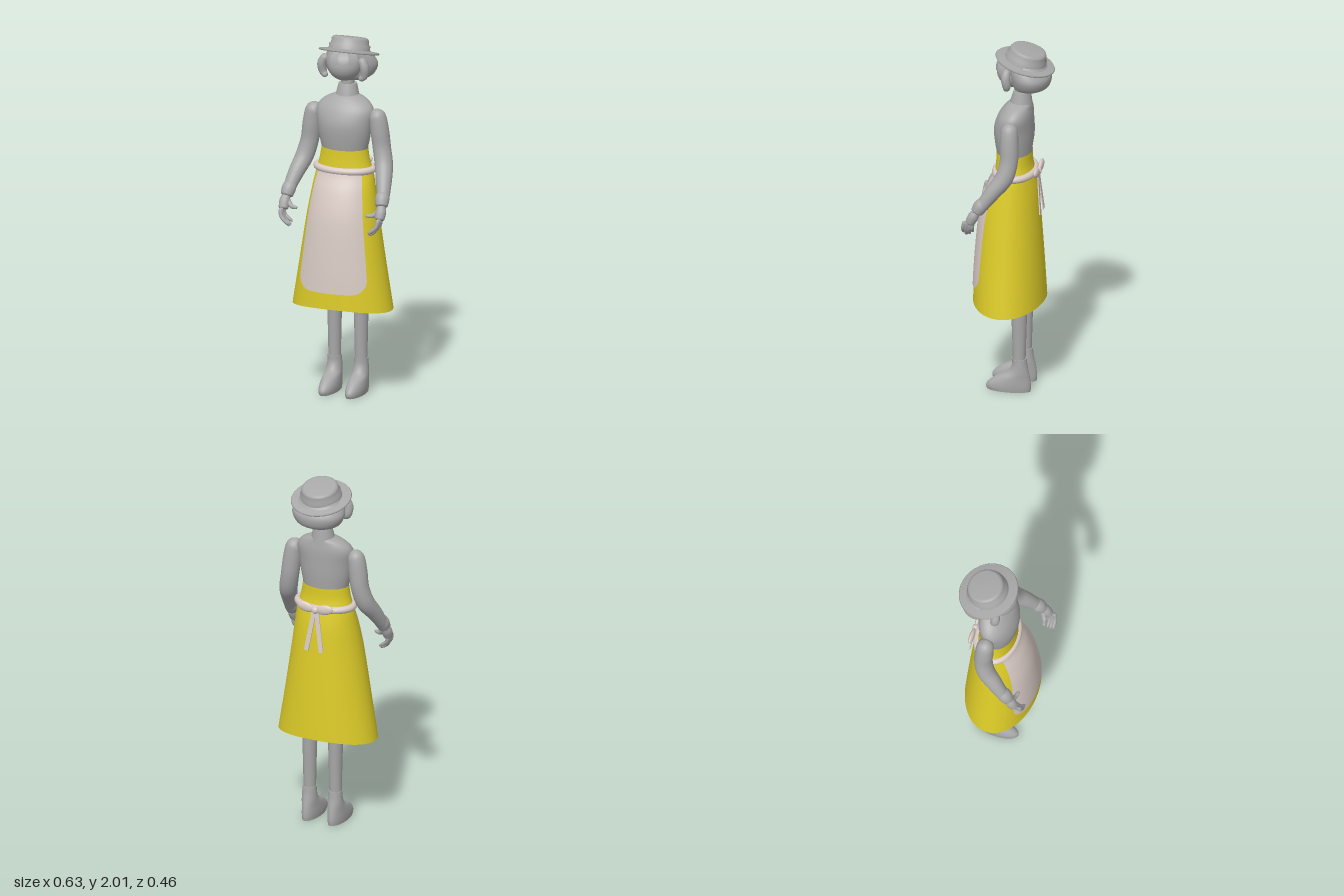
import * as THREE from 'three';
import { mergeVertices } from 'three/addons/utils/BufferGeometryUtils.js';

const grey = new THREE.MeshStandardMaterial({ color: 0xa8a8a8, name: 'plain grey' });
const yellow = new THREE.MeshStandardMaterial({ color: 0xdccb28, name: 'skirt yellow', side: THREE.DoubleSide });
const cream = new THREE.MeshStandardMaterial({ color: 0xd9cbc5, name: 'apron cream', side: THREE.DoubleSide });

// Smooth value of a row table at t in 0..1
function sample(rows, t) {
  const f = t * (rows.length - 1), i = Math.min(Math.floor(f), rows.length - 2), u = f - i;
  const at = (k) => rows[Math.max(0, Math.min(rows.length - 1, k))];
  const [a, b, c, d] = [at(i - 1), at(i), at(i + 1), at(i + 2)];
  return b.map((v, k) => v + 0.5 * u * (c[k] - a[k]
    + u * (2 * a[k] - 5 * v + 4 * c[k] - d[k] + u * (3 * (v - c[k]) + d[k] - a[k]))));
}

// Elliptical rings, rows are [y, half width, back z, front z] going up
function loft(rows, { x = 0, caps = true, steps = 24, sides = 48, bend = null } = {}) {
  const pos = [], idx = [];
  const ring = (t) => {
    const [y, rx, zb, zf] = sample(rows, t), start = pos.length / 3;
    for (let j = 0; j < sides; j++) {
      const a = (j / sides) * Math.PI * 2;
      const p = new THREE.Vector3(x + rx * Math.cos(a), y, (zb + zf) / 2 + ((zf - zb) / 2) * Math.sin(a));
      if (bend) bend(p, a, t);
      pos.push(p.x, p.y, p.z);
    }
    return start;
  };
  for (let i = 0; i <= steps; i++) ring(i / steps);
  for (let i = 0; i < steps; i++) for (let j = 0; j < sides; j++) {
    const a = i * sides + j, d = i * sides + (j + 1) % sides;
    idx.push(a, a + sides, d + sides, a, d + sides, d);
  }
  if (caps) for (const t of [0, 1]) {
    const s = ring(t), [y, , zb, zf] = sample(rows, t), c = pos.length / 3;
    pos.push(x, y, (zb + zf) / 2);
    for (let j = 0; j < sides; j++) {
      const k = s + (j + 1) % sides;
      if (t) idx.push(c, k, s + j); else idx.push(c, s + j, k);
    }
  }
  return finish(pos, idx);
}

function finish(pos, idx) {
  const g = new THREE.BufferGeometry();
  g.setAttribute('position', new THREE.Float32BufferAttribute(pos, 3));
  g.setIndex(idx);
  g.computeVertexNormals();
  return g;
}

// Round limb along points [x, y, z, radius] with rounded ends
function limb(points, steps = 24, sides = 16) {
  const curve = new THREE.CatmullRomCurve3(points.map((p) => new THREE.Vector3(p[0], p[1], p[2])));
  curve.getPointAt = (t, o) => curve.getPoint(t, o);
  curve.getTangentAt = (t, o) => curve.getTangent(t, o);
  let g = new THREE.TubeGeometry(curve, steps, 1, sides);
  const p = g.attributes.position, v = new THREE.Vector3();
  for (let i = 0; i <= steps; i++) {
    const t = i / steps, c = curve.getPoint(t);
    const e = Math.min(1, Math.min(t, 1 - t) * 8);
    const r = sample(points, t)[3] * Math.sqrt(Math.max(1 - (1 - e) ** 2, 0.0004));
    for (let j = 0; j <= sides; j++) {
      const k = i * (sides + 1) + j;
      v.fromBufferAttribute(p, k).sub(c).multiplyScalar(r).add(c);
      p.setXYZ(k, v.x, v.y, v.z);
    }
  }
  g.deleteAttribute('uv');
  g.deleteAttribute('normal');
  g = mergeVertices(g, 1e-5);
  g.computeVertexNormals();
  return g;
}

const skirtRows = [[0.52, 0.285, -0.18, 0.213], [0.75, 0.245, -0.168, 0.203], [1.0, 0.205, -0.152, 0.18],
  [1.15, 0.18, -0.14, 0.143], [1.25, 0.162, -0.122, 0.1], [1.32, 0.142, -0.108, 0.09], [1.385, 0.131, -0.106, 0.087]];

// Apron panel that follows the front of the skirt
function apronGeometry() {
  const rows = 48, cols = 24, pos = [], idx = [], bottom = 0.61, corner = 0.08;
  for (let i = 0; i <= rows; i++) {
    const y = bottom + (1.265 - bottom) * (i / rows) ** 1.5;
    let lo = 0, hi = 1;
    for (let k = 0; k < 24; k++) {
      const m = (lo + hi) / 2;
      if (sample(skirtRows, m)[0] < y) lo = m; else hi = m;
    }
    const [, rx, zb, zf] = sample(skirtRows, lo);
    const q = Math.max(0, 1 - (y - bottom) / corner);
    const w = 0.128 + 0.075 * Math.pow((1.265 - y) / 0.655, 0.85) - corner * (1 - Math.sqrt(1 - q * q));
    for (let j = 0; j <= cols; j++) {
      const x = w * (j / cols * 2 - 1);
      pos.push(x, y, (zb + zf) / 2 + ((zf - zb) / 2 + 0.006) * Math.sqrt(1 - (x / (rx + 0.006)) ** 2));
    }
  }
  for (let i = 0; i < rows; i++) for (let j = 0; j < cols; j++) {
    const a = i * (cols + 1) + j, b = a + cols + 1;
    idx.push(a, a + 1, b + 1, a, b + 1, b);
  }
  return finish(pos, idx);
}

export function createModel() {
  const model = new THREE.Group();
  const add = (name, geometry, material = grey) => {
    const m = new THREE.Mesh(geometry, material);
    m.name = name;
    model.add(m);
    return m;
  };
  const ball = (name, at, size, material) => {
    const m = add(name, new THREE.SphereGeometry(1, 32, 20), material);
    m.position.set(...at);
    m.scale.set(...size);
    return m;
  };

  // Upper body
  add('blouse', loft([[1.35, 0.122, -0.1, 0.08], [1.45, 0.145, -0.108, 0.097], [1.53, 0.156, -0.11, 0.1],
    [1.6, 0.163, -0.11, 0.077], [1.645, 0.13, -0.105, 0.045], [1.672, 0.075, -0.1, 0.017], [1.68, 0.04, -0.08, 0]]));
  add('collar', loft([[1.655, 0.068, -0.108, 0.02], [1.7, 0.058, -0.102, 0.008], [1.735, 0.05, -0.097, -0.003]]));
  add('neck', loft([[1.7, 0.036, -0.085, -0.012], [1.8, 0.036, -0.085, -0.012]]));

  // Head and bobbed hair
  ball('head', [0, 1.85, -0.008], [0.094, 0.09, 0.096]);
  add('hair', loft([[1.757, 0.085, -0.165, -0.02], [1.78, 0.125, -0.2, 0.0], [1.83, 0.15, -0.212, 0.01],
    [1.875, 0.14, -0.19, 0.02], [1.92, 0.11, -0.16, 0.03]]));
  const fringe = new THREE.SphereGeometry(0.1, 64, 12, Math.PI, -Math.PI, 0, Math.PI / 2);
  const fp = fringe.attributes.position;
  for (let i = 0; i < fp.count; i++) {
    const a = Math.atan2(fp.getX(i), fp.getZ(i));
    fp.setY(i, fp.getY(i) * 0.75 - 0.012 * Math.abs(Math.sin(a * 5)) * (1 - fp.getY(i) / 0.1));
  }
  const fringeMaterial = grey;
  fringe.index.array.reverse();
  fringe.computeVertexNormals();
  add('fringe', fringe, fringeMaterial).position.set(0, 1.872, -0.006);
  for (const s of [-1, 1]) {
    add('sideLock', limb([[s * 0.1, 1.9, 0.01, 0.022], [s * 0.125, 1.85, 0.015, 0.025],
      [s * 0.12, 1.8, 0.01, 0.022], [s * 0.095, 1.775, 0.02, 0.014]]));
  }

  // Tilted straw-style hat
  const profile = [[0, -0.006], [0.162, -0.009], [0.167, -0.003], [0.162, 0.003], [0.117, 0.005], [0.113, 0.01],
    [0.112, 0.034], [0.103, 0.04], [0.102, 0.062], [0.096, 0.073], [0.084, 0.078], [0, 0.08]];
  const hat = add('hat', new THREE.LatheGeometry(profile.map((p) => new THREE.Vector2(...p)), 64));
  hat.position.set(0, 1.908, -0.068);
  hat.rotation.x = -0.27;

  // Skirt with dipping side hem, apron and belt
  add('skirt', loft(skirtRows, { caps: false, steps: 36, sides: 72, bend: (p, a, t) => {
    p.y -= 0.025 * Math.cos(a) ** 2 * (1 - t) ** 4;
  } }), yellow);
  add('apron', apronGeometry(), cream);
  const beltPath = new THREE.CatmullRomCurve3(Array.from({ length: 16 }, (_, i) => {
    const a = (i / 16) * Math.PI * 2;
    return new THREE.Vector3(0.16 * Math.cos(a), 1.27, -0.014 + 0.105 * Math.sin(a));
  }), true);
  add('belt', new THREE.TubeGeometry(beltPath, 72, 0.02, 12, true), cream);

  // Bow at the back
  ball('bowKnot', [0, 1.27, -0.142], [0.02, 0.02, 0.016], cream);
  for (const s of [-1, 1]) {
    ball('bowLoop', [s * 0.058, 1.282, -0.143], [0.05, 0.028, 0.014], cream).rotation.z = s * 0.2;
    const tail = new THREE.BoxGeometry(0.026, 0.23, 0.006);
    tail.translate(0, -0.115, 0);
    const t = add('bowTail', tail, cream);
    t.position.set(s * 0.008, 1.26, -0.14);
    t.rotation.set(0.09, 0, s * 0.16);
  }

  for (const s of [-1, 1]) {
    // Sleeve, cuff and hand
    add('sleeve', limb([[0.168, 1.612, -0.018, 0.038], [0.188, 1.565, -0.02, 0.047], [0.2, 1.49, -0.022, 0.051],
      [0.212, 1.4, -0.022, 0.05], [0.233, 1.31, 0.0, 0.05], [0.256, 1.235, 0.055, 0.044],
      [0.273, 1.165, 0.105, 0.036], [0.28, 1.12, 0.135, 0.033]].map(([x, ...r]) => [s * x, ...r]), 48, 24));
    add('cuff', limb([[s * 0.27, 1.178, 0.1, 0.034], [s * 0.275, 1.15, 0.122, 0.039],
      [s * 0.28, 1.11, 0.145, 0.033]], 20, 24));
    add('palm', limb([[s * 0.278, 1.13, 0.135, 0.02], [s * 0.283, 1.09, 0.16, 0.029],
      [s * 0.282, 1.045, 0.182, 0.026]]));
    for (let i = 0; i < 4; i++) {
      const z = 0.16 + i * 0.016, reach = [0.018, 0.004, 0, 0.012][i];
      add('finger', limb([[s * 0.288, 1.065, z, 0.011], [s * 0.28, 1.02, z + 0.008, 0.0115],
        [s * 0.26, 0.985 + reach, z + 0.012, 0.01], [s * 0.23, 0.965 + reach, z + 0.013, 0.008]], 16, 10));
    }
    add('thumb', limb([[s * 0.272, 1.1, 0.15, 0.015], [s * 0.24, 1.067, 0.168, 0.013],
      [s * 0.2, 1.065, 0.182, 0.009]], 16, 10));

    // Leg and ankle boot
    add('leg', loft([[0.15, 0.034, -0.085, -0.017], [0.3, 0.036, -0.089, -0.013], [0.5, 0.041, -0.095, -0.005],
      [0.8, 0.05, -0.1, 0.01]], { x: s * 0.078, sides: 24 }));
    add('boot', loft([[0, 0.044, -0.113, 0.125], [0.02, 0.047, -0.116, 0.133], [0.045, 0.048, -0.115, 0.12],
      [0.08, 0.046, -0.11, 0.075], [0.11, 0.043, -0.104, 0.015], [0.15, 0.04, -0.096, -0.01],
      [0.19, 0.038, -0.092, -0.013]], { x: s * 0.078, sides: 32 }));
  }
  return model;
}
